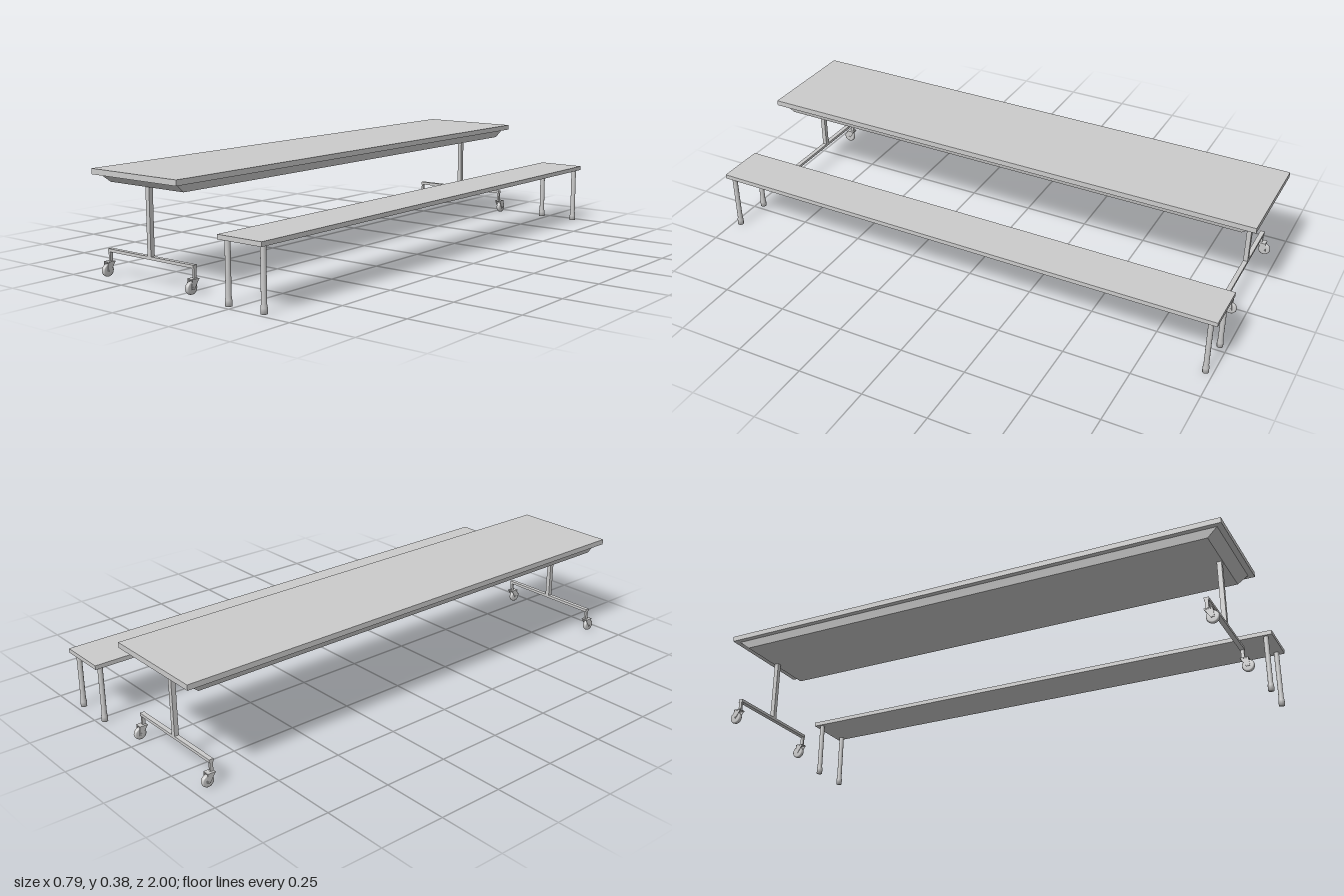
import * as THREE from 'three';

const grey = new THREE.MeshStandardMaterial({ color: 0xcccccc });

function add(parent, name, geometry, x, y, z) {
  const mesh = new THREE.Mesh(geometry, grey);
  mesh.name = name;
  mesh.position.set(x, y, z);
  parent.add(mesh);
  return mesh;
}

const box = (w, h, d) => new THREE.BoxGeometry(w, h, d);

// Box whose lower face is narrowed to the given width and depth
function taperedBox(w, h, d, lowW, lowD) {
  const g = box(w, h, d);
  const p = g.attributes.position;
  for (let i = 0; i < p.count; i++) {
    if (p.getY(i) < 0) p.setXYZ(i, p.getX(i) * lowW / w, p.getY(i), p.getZ(i) * lowD / d);
  }
  g.computeVertexNormals();
  return g;
}

// Swivel caster; the wheel trails towards +z
function createCaster() {
  const caster = new THREE.Group();
  caster.name = 'caster';
  add(caster, 'casterPlate', box(0.026, 0.004, 0.03), 0, 0.051, 0.006);
  for (const s of [-1, 1]) {
    // Fork cheek, drawn in z/y and extruded along x
    const shape = new THREE.Shape();
    shape.moveTo(-0.009, 0.05);
    shape.lineTo(0.021, 0.05);
    shape.lineTo(0.024, 0.019);
    shape.lineTo(0.012, 0.017);
    const cheek = new THREE.ExtrudeGeometry(shape, { depth: 0.002, bevelEnabled: false });
    cheek.rotateY(-Math.PI / 2);
    add(caster, 'casterFork', cheek, s * 0.0105 + 0.001, 0, 0);
  }
  // Wheel with rounded tread
  const profile = [[0, -0.008], [0.018, -0.008], [0.0215, -0.006], [0.023, 0],
    [0.0215, 0.006], [0.018, 0.008], [0, 0.008]].map(([r, y]) => new THREE.Vector2(r, y));
  const wheel = new THREE.LatheGeometry(profile, 24).rotateZ(Math.PI / 2);
  add(caster, 'casterWheel', wheel, 0, 0.023, 0.016);
  const axle = new THREE.CylinderGeometry(0.004, 0.004, 0.025, 12).rotateZ(Math.PI / 2);
  add(caster, 'casterAxle', axle, 0, 0.023, 0.016);
  return caster;
}

// T-shaped end frame on two casters
function createEndFrame() {
  const frame = new THREE.Group();
  frame.name = 'endFrame';
  add(frame, 'post', box(0.017, 0.242, 0.017), 0, 0.214, 0);
  add(frame, 'footBar', box(0.418, 0.011, 0.017), 0, 0.0915, 0);
  for (const s of [-1, 1]) {
    add(frame, 'casterStem', box(0.008, 0.036, 0.012), s * 0.205, 0.07, 0);
    const caster = createCaster();
    caster.position.x = s * 0.205;
    frame.add(caster);
  }
  return frame;
}

function createTable() {
  const table = new THREE.Group();
  table.name = 'table';
  add(table, 'tableTop', box(0.41, 0.02, 2), 0, 0.373, 0);
  add(table, 'underTray', taperedBox(0.37, 0.03, 1.96, 0.355, 1.885), 0, 0.348, 0);
  for (const s of [-1, 1]) {
    const frame = createEndFrame();
    frame.position.z = s * 0.93;
    if (s < 0) frame.rotation.y = Math.PI;
    table.add(frame);
  }
  return table;
}

function createBench() {
  const bench = new THREE.Group();
  bench.name = 'bench';
  add(bench, 'benchSeat', box(0.186, 0.016, 2), 0, 0.223, 0);
  // Round leg with a flared rubber foot
  const profile = [[0, 0], [0.0115, 0], [0.0115, 0.02], [0.0095, 0.032], [0.0095, 0.216]]
    .map(([r, y]) => new THREE.Vector2(r, y));
  const leg = new THREE.LatheGeometry(profile, 20);
  for (const x of [-0.075, 0.075]) {
    for (const z of [-0.973, 0.973]) add(bench, 'benchLeg', leg, x, 0, z);
  }
  return bench;
}

export function createModel() {
  const model = new THREE.Group();
  model.name = 'tableAndBench';
  const table = createTable();
  table.position.x = -0.176;
  const bench = createBench();
  bench.position.x = 0.299;
  model.add(table, bench);
  return model;
}
